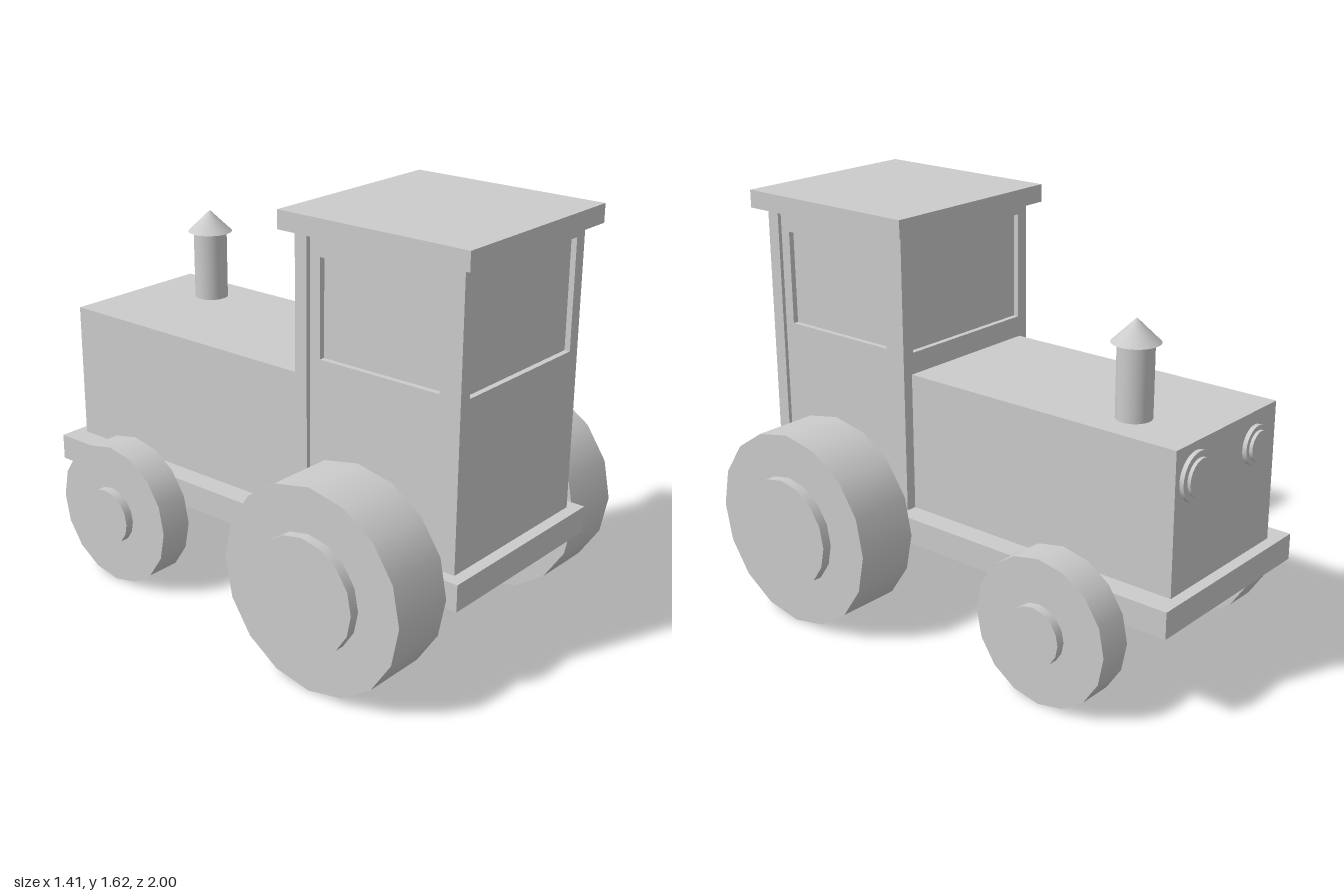
import * as THREE from 'three';

const material = new THREE.MeshStandardMaterial({ color: 0xcccccc });

function add(parent, name, geometry, x = 0, y = 0, z = 0) {
  const mesh = new THREE.Mesh(geometry, material);
  mesh.name = name;
  mesh.position.set(x, y, z);
  parent.add(mesh);
  return mesh;
}

// Box given by its limits on each axis
function box(parent, name, [x0, x1], [y0, y1], [z0, z1]) {
  return add(parent, name, new THREE.BoxGeometry(x1 - x0, y1 - y0, z1 - z0),
    (x0 + x1) / 2, (y0 + y1) / 2, (z0 + z1) / 2);
}

// Upright wall with a rectangular window opening and a recessed pane; outer face at z = 0
function windowWall(name, halfWidth, [y0, y1], windowHalf, [w0, w1], depth) {
  const group = new THREE.Group();
  group.name = name;
  const shape = new THREE.Shape([
    new THREE.Vector2(-halfWidth, y0), new THREE.Vector2(halfWidth, y0),
    new THREE.Vector2(halfWidth, y1), new THREE.Vector2(-halfWidth, y1)]);
  shape.holes.push(new THREE.Path([
    new THREE.Vector2(-windowHalf, w0), new THREE.Vector2(-windowHalf, w1),
    new THREE.Vector2(windowHalf, w1), new THREE.Vector2(windowHalf, w0)]));
  add(group, 'wallFrame', new THREE.ExtrudeGeometry(shape, { depth, bevelEnabled: false }), 0, 0, -depth);
  box(group, 'windowPane', [-windowHalf, windowHalf], [w0, w1], [-depth + 0.005, -0.022]);
  return group;
}

// Wheel with a raised hub, its axle along x
function wheel(name, side, radius, z, inner, outer, hubRadius, hubOuter) {
  const group = new THREE.Group();
  group.name = name;
  const disc = (part, r, a, b) => {
    const mesh = add(group, part, new THREE.CylinderGeometry(r, r, b - a, 16), side * (a + b) / 2, 0, 0);
    mesh.rotation.z = Math.PI / 2;
  };
  disc('tyre', radius, inner, outer);
  disc('hub', hubRadius, outer - 0.02, hubOuter);
  group.position.set(0, radius, z);
  return group;
}

export function createModel() {
  const model = new THREE.Group();
  model.name = 'tractor';

  // Chassis and engine hood
  box(model, 'chassis', [-0.405, 0.405], [0.357, 0.46], [-1, 1]);
  box(model, 'engineHood', [-0.315, 0.315], [0.46, 1.003], [-0.955, 0.24]);

  // Cab: two full-width end walls with slightly recessed side walls between them
  const cab = new THREE.Group();
  cab.name = 'cab';
  model.add(cab);
  const wallY = [0.46, 1.545];
  for (const [name, z, turn] of [['cabFrontWall', 0.953, 0], ['cabHoodWall', 0.24, Math.PI]]) {
    const wall = windowWall(name, 0.357, wallY, 0.307, [1.087, 1.505], 0.054);
    wall.position.z = z;
    wall.rotation.y = turn;
    cab.add(wall);
  }
  for (const side of [1, -1]) {
    const wall = windowWall(side > 0 ? 'cabLeftWall' : 'cabRightWall', 0.303, wallY, 0.257, [1.09, 1.46], 0.05);
    wall.position.set(side * 0.342, 0, 0.599);
    wall.rotation.y = side * Math.PI / 2;
    cab.add(wall);
  }
  box(cab, 'roof', [-0.402, 0.402], [1.545, 1.615], [0.2, 1]);

  // Exhaust pipe with a conical cap
  add(model, 'exhaustPipe', new THREE.CylinderGeometry(0.067, 0.067, 0.285, 32), 0.15, 1.1425, -0.665);
  add(model, 'exhaustCap', new THREE.ConeGeometry(0.089, 0.087, 32), 0.15, 1.322, -0.665);

  // Headlights: a rim with a raised lens, one larger than the other
  for (const [name, x, r] of [['leftHeadlight', 0.198, 0.093], ['rightHeadlight', -0.175, 0.075]]) {
    const light = new THREE.Group();
    light.name = name;
    light.position.set(x, 0.878, -0.955);
    light.rotation.x = -Math.PI / 2;
    add(light, 'rim', new THREE.CylinderGeometry(r, r, 0.017, 32), 0, 0.0085, 0);
    add(light, 'lens', new THREE.CylinderGeometry(r * 0.76, r * 0.76, 0.03, 32), 0, 0.015, 0);
    model.add(light);
  }

  // Two large and two small wheels
  for (const side of [1, -1]) {
    const prefix = side > 0 ? 'left' : 'right';
    model.add(wheel(prefix + 'LargeWheel', side, 0.39, 0.567, 0.405, 0.665, 0.218, 0.703));
    model.add(wheel(prefix + 'SmallWheel', side, 0.285, -0.558, 0.405, 0.54, 0.113, 0.574));
  }
  return model;
}
